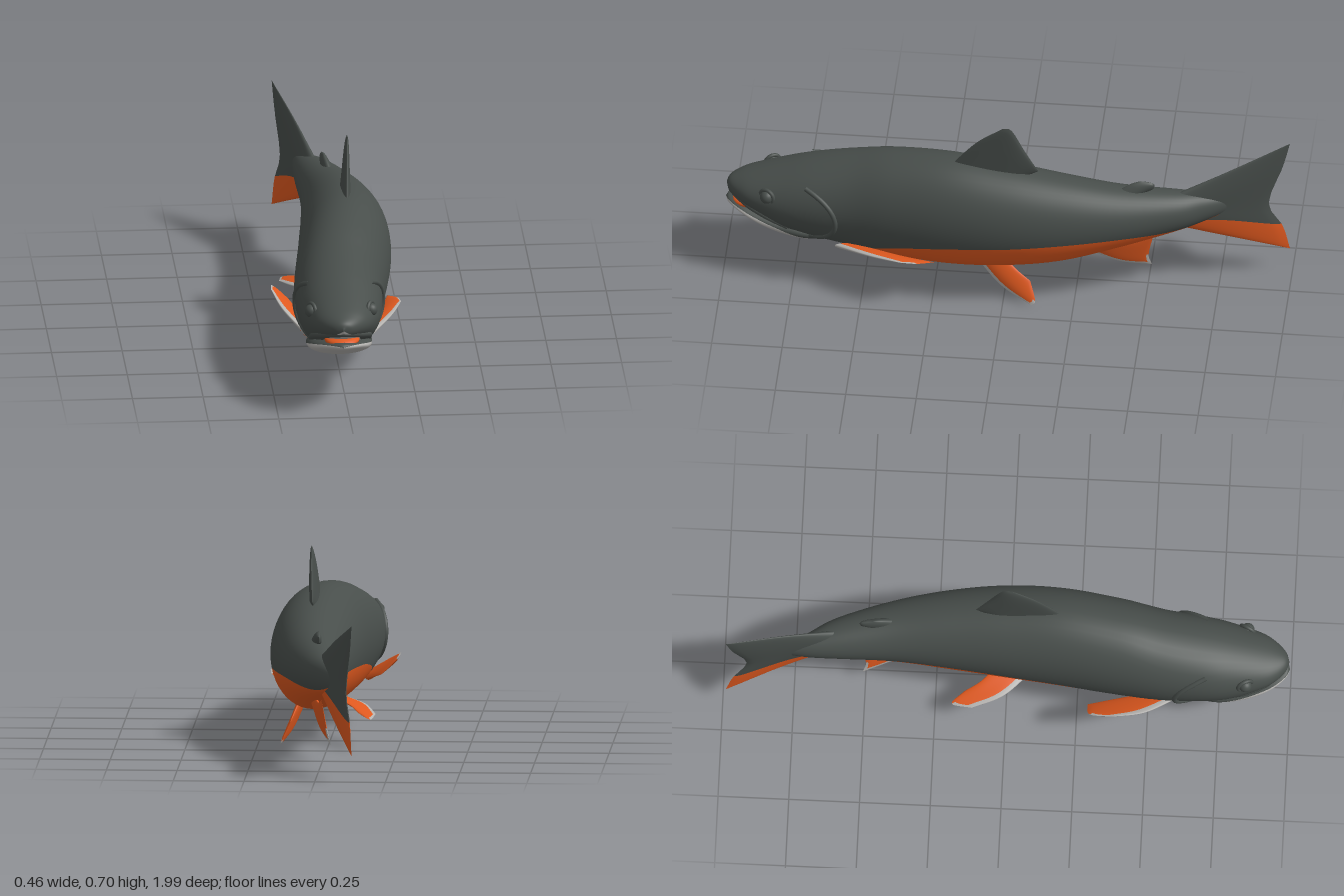
import * as THREE from 'three';

const flat = (name, color) => {
  const m = new THREE.MeshStandardMaterial({ color });
  m.name = name;
  return m;
};
const V = (x, y, z) => new THREE.Vector3(x, y, z);

// Skin over closed rings: point(t, k) gives vertex k of a ring, paint(t, k) the material index of a face
function loft(name, nRings, nSeg, point, paint, materials) {
  const pos = [], buckets = materials.map(() => []);
  for (let i = 0; i <= nRings; i++)
    for (let k = 0; k < nSeg; k++) pos.push(...point(i / nRings, k).toArray());
  const at = i => V(pos[3 * i], pos[3 * i + 1], pos[3 * i + 2]);
  const origin = at(0);
  let volume = 0;
  for (let i = 0; i < nRings; i++)
    for (let k = 0; k < nSeg; k++) {
      const a = i * nSeg + k, b = i * nSeg + (k + 1) % nSeg, c = a + nSeg, d = b + nSeg;
      buckets[paint((i + 0.5) / nRings, k)].push(a, b, c, b, d, c);
      for (const [p, q, r] of [[a, b, c], [b, d, c]])
        volume += at(p).sub(origin).dot(at(q).sub(origin).cross(at(r).sub(origin)));
    }
  const geo = new THREE.BufferGeometry(), index = [];
  buckets.forEach((list, m) => {
    if (volume < 0) list.reverse(); // keep faces pointing outwards
    geo.addGroup(index.length, list.length, m);
    for (const v of list) index.push(v);
  });
  geo.setAttribute('position', new THREE.Float32BufferAttribute(pos, 3));
  geo.setIndex(index);
  geo.computeVertexNormals();
  const mesh = new THREE.Mesh(geo, materials);
  mesh.name = name;
  return mesh;
}

// Smooth hull through stations [z, centreX, halfWidth, bottom, top, colourLine]
function hull(stations) {
  const a = new THREE.CatmullRomCurve3(stations.map(s => V(s[0], s[1], s[2])), false, 'catmullrom');
  const b = new THREE.CatmullRomCurve3(stations.map(s => V(s[3], s[4], s[5])), false, 'catmullrom');
  const surface = (t, angle) => {
    const p = a.getPoint(t), q = b.getPoint(t);
    return V(p.y + Math.max(p.z, 0.0005) * Math.cos(angle),
      (q.x + q.y) / 2 + (q.y - q.x) / 2 * Math.sin(angle), p.x);
  };
  const UP = 30, LOW = 20;
  const point = (t, k) => {
    const q = b.getPoint(t);
    const s = THREE.MathUtils.clamp((2 * q.z - q.x - q.y) / (q.y - q.x), -0.98, 0.9);
    const e = Math.asin(s);
    return surface(t, k <= UP ? e + (Math.PI - 2 * e) * k / UP
      : Math.PI - e + (Math.PI + 2 * e) * (k - UP) / LOW);
  };
  return { surface, point, seg: UP + LOW, isUpper: k => k < UP, z: t => a.getPoint(t).x };
}

// Lens-section fin spanned between rays that run from root to tip
function fin(name, rays, thickness, side, materials, paint = () => 0) {
  const curves = rays.map(r => new THREE.CatmullRomCurve3(r.map(p => V(...p))));
  const n = 40, dir = V(...side).normalize();
  const across = k => (1 - Math.cos(2 * Math.PI * k / n)) / 2;
  return loft(name, 20, n, (v, k) => {
    const row = new THREE.CatmullRomCurve3(curves.map(c => c.getPoint(v)), false, 'catmullrom');
    const half = thickness * (1 - 0.6 * v) * Math.sqrt(1 - v ** 8);
    return row.getPoint(across(k)).addScaledVector(dir, half * Math.sin(2 * Math.PI * k / n));
  }, (v, k) => paint(across(k + 0.5), v), materials);
}

export function createModel() {
  const dark = flat('dark back', 0x484e4b);
  const orange = flat('orange belly', 0xe0591f);
  const white = flat('pale edge', 0xb4b2af);
  const fish = new THREE.Group();
  fish.name = 'fish';

  // Body, bending gently sideways towards the tail
  const body = hull([
    [0.997, -0.02, 0.001, 0.325, 0.333, 0.326],
    [0.985, -0.02, 0.035, 0.302, 0.354, 0.31],
    [0.95, -0.02, 0.072, 0.28, 0.372, 0.295],
    [0.9, -0.018, 0.102, 0.25, 0.39, 0.265],
    [0.8, -0.016, 0.134, 0.19, 0.422, 0.21],
    [0.7, -0.013, 0.15, 0.16, 0.452, 0.165],
    [0.55, -0.005, 0.158, 0.128, 0.488, 0.145],
    [0.4, 0.015, 0.165, 0.11, 0.52, 0.21],
    [0.2, 0.04, 0.166, 0.105, 0.535, 0.25],
    [0, 0.053, 0.158, 0.12, 0.515, 0.27],
    [-0.2, 0.052, 0.137, 0.15, 0.48, 0.285],
    [-0.4, 0.035, 0.107, 0.205, 0.44, 0.29],
    [-0.6, -0.005, 0.073, 0.255, 0.408, 0.28],
    [-0.7, -0.035, 0.043, 0.278, 0.385, 0.29],
    [-0.8, -0.065, 0.005, 0.31, 0.35, 0.32],
  ]);
  fish.add(loft('body', 90, body.seg, body.point, (t, k) => {
    const z = body.z(t);
    return body.isUpper(k) ? 0 : z > 0.86 ? 2 : z > 0.56 ? 0 : 1;
  }, [dark, orange, white]));

  // Lower jaw with a pale chin
  const jaw = hull([
    [1.0, -0.022, 0.001, 0.263, 0.267, 0.266],
    [0.985, -0.022, 0.035, 0.25, 0.276, 0.268],
    [0.94, -0.022, 0.073, 0.23, 0.272, 0.258],
    [0.88, -0.021, 0.098, 0.202, 0.262, 0.24],
    [0.8, -0.02, 0.114, 0.172, 0.252, 0.215],
    [0.71, -0.017, 0.112, 0.15, 0.24, 0.182],
    [0.62, -0.012, 0.06, 0.14, 0.2, 0.158],
    [0.57, -0.01, 0.005, 0.145, 0.17, 0.155],
  ]);
  fish.add(loft('lowerJaw', 40, jaw.seg, jaw.point, (t, k) => jaw.isUpper(k) ? 0 : 1, [dark, white]));

  const tongue = new THREE.Mesh(new THREE.SphereGeometry(1, 24, 16), orange);
  tongue.name = 'tongue';
  tongue.scale.set(0.062, 0.02, 0.07);
  tongue.position.set(-0.02, 0.268, 0.91);
  fish.add(tongue);

  const tube = (name, points, radius) => {
    const mesh = new THREE.Mesh(
      new THREE.TubeGeometry(new THREE.CatmullRomCurve3(points), 40, radius, 10), dark);
    mesh.name = name;
    fish.add(mesh);
  };
  tube('upperLip', [[-0.118, 0.225, 0.77], [-0.115, 0.262, 0.85], [-0.085, 0.29, 0.925], [-0.02, 0.312, 0.982],
    [0.045, 0.29, 0.925], [0.078, 0.262, 0.85], [0.084, 0.225, 0.77]].map(p => V(...p)), 0.012);

  for (const s of [1, -1]) {
    // Eyes with a raised socket ring
    const eye = new THREE.Group();
    eye.name = s > 0 ? 'leftEye' : 'rightEye';
    const ball = new THREE.Mesh(new THREE.SphereGeometry(0.024, 24, 16), dark);
    ball.name = 'eyeball';
    const ring = new THREE.Mesh(new THREE.TorusGeometry(0.027, 0.007, 10, 28), dark);
    ring.name = 'eyeSocket';
    eye.add(ball, ring);
    eye.position.set(-0.018 + s * 0.105, 0.352, 0.845);
    eye.rotation.set(-0.2, s * 1.1, 0);
    fish.add(eye);

    // Gill cover rim lying on the flank
    const rim = [];
    for (let i = 0; i <= 10; i++) {
      const a = THREE.MathUtils.lerp(-0.95, 0.75, i / 10);
      const t = (5.7 - 0.75 * ((a + 0.1) / 0.85) ** 2) / 14;
      rim.push(body.surface(t, s > 0 ? a : Math.PI - a));
    }
    tube(s > 0 ? 'leftGillRim' : 'rightGillRim', rim, 0.009);
  }

  // Fins on the back
  fish.add(fin('dorsalFin', [
    [[0.05, 0.51, 0.2], [0.058, 0.63, 0.1], [0.065, 0.7, 0.01]],
    [[0.055, 0.5, 0.08], [0.06, 0.61, 0.02], [0.065, 0.693, -0.022]],
    [[0.055, 0.49, -0.01], [0.06, 0.56, -0.04], [0.063, 0.61, -0.065]],
    [[0.055, 0.48, -0.06], [0.056, 0.5, -0.09], [0.057, 0.515, -0.115]],
  ], 0.018, [1, 0, 0], [dark]));
  fish.add(fin('adiposeFin', [
    [[0.035, 0.42, -0.38], [0.022, 0.455, -0.44], [0.015, 0.466, -0.475]],
    [[0.03, 0.41, -0.43], [0.018, 0.44, -0.48], [0.012, 0.455, -0.52]],
    [[0.02, 0.4, -0.46], [0.014, 0.42, -0.495], [0.01, 0.43, -0.52]],
  ], 0.02, [1, 0, 0], [dark]));

  // Forked tail, orange along its lower lobe
  fish.add(fin('tailFin', [
    [[-0.01, 0.4, -0.6], [-0.06, 0.475, -0.78], [-0.13, 0.56, -0.99]],
    [[-0.01, 0.365, -0.6], [-0.06, 0.4, -0.78], [-0.122, 0.46, -0.965]],
    [[-0.01, 0.33, -0.6], [-0.055, 0.325, -0.76], [-0.105, 0.31, -0.917]],
    [[-0.01, 0.3, -0.6], [-0.06, 0.265, -0.78], [-0.122, 0.2, -0.965]],
    [[-0.01, 0.262, -0.6], [-0.06, 0.188, -0.78], [-0.13, 0.095, -0.99]],
  ], 0.03, [1, 0, 0.3], [dark, orange], u => u > 0.74 ? 1 : 0));

  // Lower fins: orange with a pale leading edge
  const edge = (u, v) => u < 0.13 || (v > 0.93 && u < 0.5) ? 1 : 0;
  const lowerFin = (name, side, ...rays) => fish.add(fin(name, rays, 0.014, side, [orange, white], edge));
  lowerFin('analFin', [1, -0.5, 0],
    [[0.045, 0.19, -0.26], [0.01, 0.105, -0.39], [-0.03, 0.065, -0.51]],
    [[0.042, 0.21, -0.32], [0.012, 0.15, -0.42], [-0.015, 0.12, -0.5]],
    [[0.035, 0.23, -0.4], [0.018, 0.21, -0.46], [0.002, 0.225, -0.52]]);
  lowerFin('leftPelvicFin', [1, 0.5, 0],
    [[0.09, 0.155, 0.11], [0.13, 0.055, 0.01], [0.17, 0.005, -0.1]],
    [[0.095, 0.16, 0.06], [0.13, 0.08, -0.02], [0.165, 0.02, -0.115]],
    [[0.1, 0.165, 0], [0.118, 0.125, -0.04], [0.135, 0.085, -0.095]]);
  lowerFin('rightPelvicFin', [0.5, 1, 0],
    [[-0.02, 0.155, 0.1], [-0.125, 0.14, -0.01], [-0.168, 0.12, -0.12]],
    [[-0.02, 0.16, 0.04], [-0.11, 0.135, -0.07], [-0.152, 0.11, -0.19]],
    [[-0.01, 0.165, -0.03], [-0.075, 0.145, -0.09], [-0.11, 0.125, -0.15]]);
  lowerFin('leftPectoralFin', [-0.25, 1, 0],
    [[0.115, 0.175, 0.6], [0.19, 0.196, 0.47], [0.23, 0.205, 0.36]],
    [[0.11, 0.17, 0.54], [0.18, 0.188, 0.4], [0.222, 0.198, 0.3]],
    [[0.11, 0.165, 0.48], [0.155, 0.175, 0.36], [0.19, 0.185, 0.24]]);
  lowerFin('rightPectoralFin', [0.65, 0.75, 0],
    [[-0.11, 0.165, 0.61], [-0.2, 0.235, 0.49], [-0.232, 0.268, 0.38]],
    [[-0.11, 0.16, 0.55], [-0.185, 0.22, 0.41], [-0.222, 0.255, 0.3]],
    [[-0.1, 0.155, 0.49], [-0.135, 0.18, 0.38], [-0.165, 0.2, 0.29]]);

  return fish;
}
